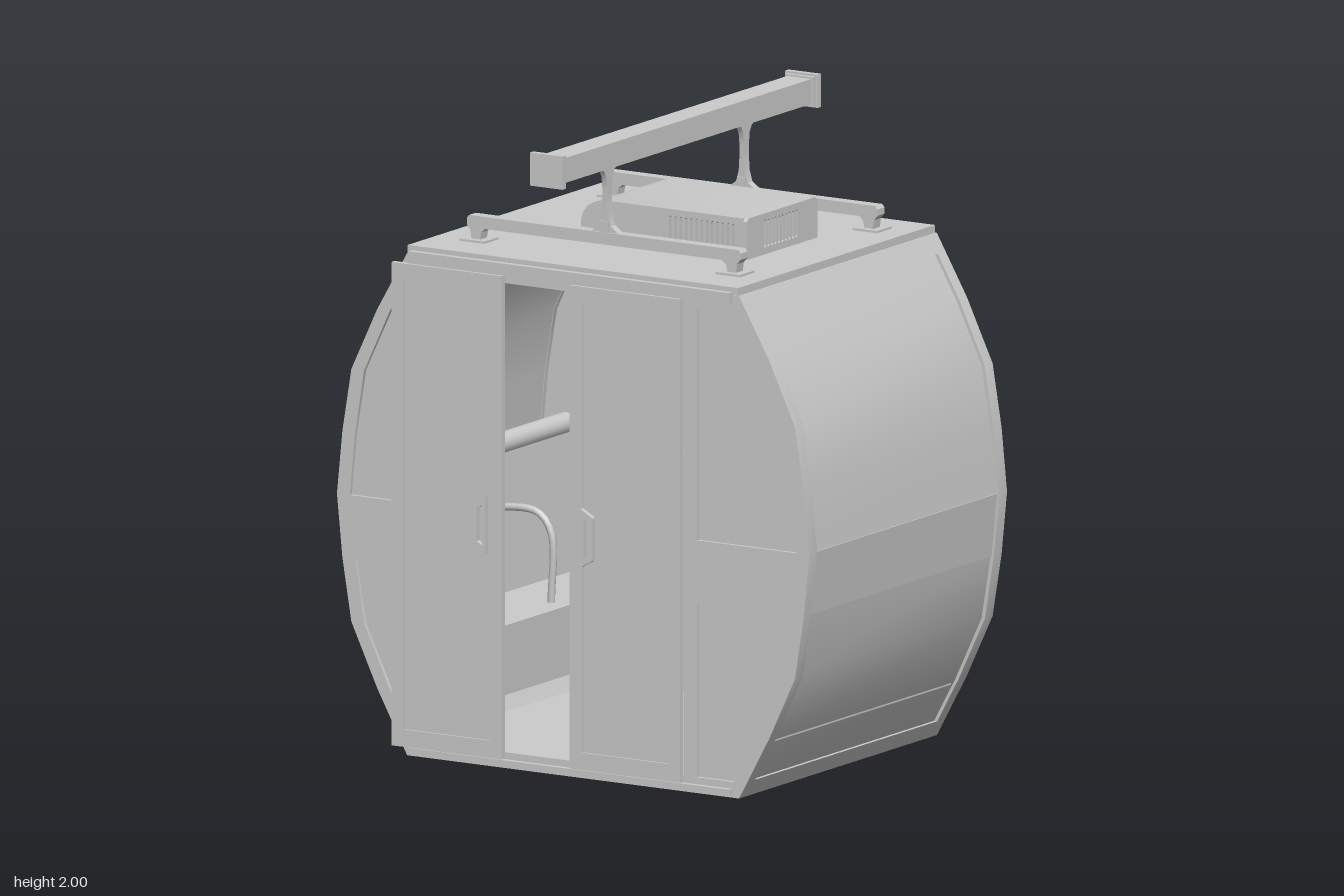
import * as THREE from 'three';
import { toCreasedNormals } from 'three/addons/utils/BufferGeometryUtils.js';

const mat = new THREE.MeshStandardMaterial({ color: 0xcccccc, side: THREE.DoubleSide });
const FRONT = 0.58, BACK = -0.56, WALL = 0.045;

// Cabin half width at height y
const KNOTS = [[0, 0.61], [0.2, 0.72], [0.4, 0.815], [0.6, 0.848], [0.8, 0.868],
  [1.0, 0.848], [1.2, 0.815], [1.4, 0.72], [1.59, 0.61]];
function halfWidth(y) {
  let i = 0;
  while (i < KNOTS.length - 2 && y > KNOTS[i + 1][0]) i++;
  const [y0, w0] = KNOTS[i], [y1, w1] = KNOTS[i + 1];
  return w0 + (w1 - w0) * (y - y0) / (y1 - y0);
}
// Points up the cabin edge between two heights, moved inward
function edge(y0, y1, inset, s) {
  const ys = [y0, ...KNOTS.map(k => k[0]).filter(y => y > y0 + 0.001 && y < y1 - 0.001), y1];
  return ys.map(y => [s * (halfWidth(y) - inset), y]);
}
const rect = (x0, y0, x1, y1) => [[x0, y0], [x1, y0], [x1, y1], [x0, y1]];
const toShape = (pts, C = THREE.Shape) => new C(pts.map(p => new THREE.Vector2(p[0], p[1])));

function add(parent, name, geo, x = 0, y = 0, z = 0) {
  const m = new THREE.Mesh(geo, mat);
  m.name = name;
  m.position.set(x, y, z);
  parent.add(m);
  return m;
}
const box = (parent, name, x0, x1, y0, y1, z0, z1) => add(parent, name,
  new THREE.BoxGeometry(x1 - x0, y1 - y0, z1 - z0), (x0 + x1) / 2, (y0 + y1) / 2, (z0 + z1) / 2);
// Outline in x/y with holes, extruded from z0 to z1
function slab(parent, name, pts, z0, z1, holes = []) {
  const shape = toShape(pts);
  shape.holes = holes.map(h => toShape(h, THREE.Path));
  const geo = new THREE.ExtrudeGeometry(shape, { depth: z1 - z0, bevelEnabled: false });
  return add(parent, name, toCreasedNormals(geo, 0.5), 0, 0, z0);
}

const PANES = [[0.05, 0.6], [0.8, 1.535]];
const sidePane = (y0, y1, s) => [[s * 0.455, y0], ...edge(y0, y1, 0.047, s), [s * 0.455, y1]];

// End wall with curved side windows and a central opening or windows
function endWall(parent, name, z0, z1, centre, paneZ) {
  const outline = [...edge(0, 1.59, 0, 1), ...edge(0, 1.59, 0, -1).reverse()];
  const panes = PANES.flatMap(([a, b]) => [sidePane(a, b, 1), sidePane(a, b, -1)]);
  slab(parent, name, outline, z0, z1, [...panes, ...centre]);
  const glass = name === 'backWall' ? [...panes, ...centre] : panes;
  glass.forEach(p => slab(parent, name + 'Window', p, paneZ - 0.008, paneZ + 0.008));
}

// Curved strip of side wall
function sideStrip(parent, name, y0, y1, inset, s) {
  slab(parent, name, [...edge(y0, y1, inset, s), ...edge(y0, y1, 0.045, s).reverse()],
    BACK + WALL, FRONT - WALL);
}

// Sliding door, inner edge at x, extending outwards in direction s
function door(parent, x, s) {
  const g = new THREE.Group();
  g.name = s > 0 ? 'leftDoor' : 'rightDoor';
  parent.add(g);
  const X = d => x + s * d;
  const glass = rect(X(0.045), 0.085, X(0.36), 1.51);
  slab(g, 'doorFrame', rect(X(0), 0.03, X(0.405), 1.56), FRONT + 0.001, 0.6, [glass]);
  slab(g, 'doorGlass', glass, 0.584, 0.592);
  slab(g, 'doorHandle', [[X(0.05), 0.675], [X(0.094), 0.7], [X(0.094), 0.835], [X(0.05), 0.86]],
    0.6, 0.616, [[[X(0.062), 0.705], [X(0.082), 0.715], [X(0.082), 0.82], [X(0.062), 0.83]]]);
}

// Bench with a rolled backrest and tubular armrest
function bench(parent, s) {
  const g = new THREE.Group();
  g.name = s > 0 ? 'leftBench' : 'rightBench';
  parent.add(g);
  slab(g, 'seat', [[s * 0.38, 0.18], [s * 0.7, 0.18], [s * 0.7, 0.4], [s * 0.38, 0.4]], -0.5, 0.52);
  slab(g, 'backrest', [[s * 0.65, 0.4], [s * 0.7, 0.4], [s * 0.74, 0.85], [s * 0.69, 0.85]], -0.5, 0.52);
  add(g, 'backrestRoll', new THREE.CylinderGeometry(0.035, 0.035, 1.02, 16),
    s * 0.715, 0.85, 0.01).rotation.x = Math.PI / 2;
  const path = new THREE.CatmullRomCurve3([[0.68, 0.68], [0.5, 0.68], [0.45, 0.62], [0.45, 0.4]]
    .map(([x, y]) => new THREE.Vector3(s * x, y, 0)));
  add(g, 'armrest', new THREE.TubeGeometry(path, 20, 0.012, 8));
}

// Suspension post, cross arm and feet
function hanger(parent, z) {
  const g = new THREE.Group();
  g.name = 'hanger';
  g.position.z = z;
  parent.add(g);
  const cx = 0.007;
  // Flared top bracket, profile across z
  const half = [[0.05, 1.912], [0.05, 1.9], [0.03, 1.89], [0.018, 1.87], [0.013, 1.83], [0.013, 1.69]];
  slab(g, 'postBracket', [...half, ...half.map(([a, b]) => [-a, b]).reverse()], -0.009, 0.009)
    .rotation.y = Math.PI / 2;
  g.children[0].position.set(cx - 0.009, 0, 0);
  // Flared foot of the post, profile across x
  const foot = [[0.009, 1.8], [0.012, 1.75], [0.022, 1.715], [0.05, 1.695], [0.06, 1.68]];
  slab(g, 'postFoot', [...foot.map(([a, b]) => [cx + a, b]),
    ...foot.map(([a, b]) => [cx - a, b]).reverse()], -0.013, 0.013);
  box(g, 'postCollar', cx - 0.015, cx + 0.015, 1.69, 1.73, -0.018, 0.018);
  // Arm bends down to a foot at each end
  const arm = [[0, 1.695], [0.495, 1.695], [0.503, 1.685], [0.503, 1.665], [0.49, 1.65],
    [0.485, 1.615], [0.455, 1.615], [0.45, 1.645], [0.435, 1.657], [0, 1.657]];
  for (const s of [-1, 1]) {
    slab(g, 'crossArm', arm.map(([a, b]) => [cx + s * a, b]), -0.02, 0.02);
    box(g, 'footPlate', cx + s * 0.47 - 0.045, cx + s * 0.47 + 0.045, 1.61, 1.622, -0.042, 0.042);
  }
}

// Row of vertical vent slots as hole outlines
const slots = (x0, x1, y0, y1, n) => Array.from({ length: n }, (_, i) => {
  const p = (x1 - x0) / n, a = x0 + p * (i + 0.2), b = x0 + p * (i + 0.8);
  return [[a, y0 + 0.006], [(a + b) / 2, y0], [b, y0 + 0.006], [b, y1 - 0.006], [(a + b) / 2, y1], [a, y1 - 0.006]];
});

// Rooftop ventilation unit, rounded at one end, vented at the other
function ventUnit(parent) {
  const g = new THREE.Group();
  g.name = 'ventUnit';
  parent.add(g);
  const prof = [[-0.21, 1.61], [-0.21, 1.675], [-0.203, 1.7], [-0.185, 1.722], [-0.16, 1.737],
    [-0.125, 1.745], [0.385, 1.745], [0.385, 1.61]];
  slab(g, 'ventBody', prof, -0.185, 0.19);
  const sideVents = slots(0.11, 0.36, 1.64, 1.725, 13);
  slab(g, 'ventFrontPanel', prof, 0.19, 0.205, sideVents);
  slab(g, 'ventBackPanel', prof, -0.2, -0.185, sideVents);
  const end = slab(g, 'ventEndPanel', [[-0.205, 1.61], [0.2, 1.61], [0.2, 1.735], [0.19, 1.745],
    [-0.195, 1.745], [-0.205, 1.735]], 0, 0.015, slots(-0.11, 0.09, 1.635, 1.725, 10));
  end.rotation.y = Math.PI / 2;
  end.position.x = 0.385;
}

export function createModel() {
  const model = new THREE.Group();
  model.name = 'gondolaCabin';

  // Cabin shell
  endWall(model, 'frontWall', FRONT - WALL, FRONT, [rect(-0.405, 0.05, 0.405, 1.535)], FRONT - 0.02);
  endWall(model, 'backWall', BACK, BACK + WALL,
    PANES.map(([a, b]) => rect(-0.405, a, 0.405, b)), BACK + 0.02);
  for (const s of [-1, 1]) {
    sideStrip(model, 'sideSill', 0, 0.055, 0, s);
    sideStrip(model, 'sideWindow', 0.055, 0.6, 0.012, s);
    sideStrip(model, 'sideBand', 0.6, 0.8, 0.008, s);
    sideStrip(model, 'sideWindow', 0.8, 1.535, 0.012, s);
    sideStrip(model, 'sideHeader', 1.535, 1.59, 0, s);
    bench(model, s);
  }
  box(model, 'floor', -0.6, 0.6, 0.001, 0.045, BACK + 0.02, FRONT - 0.02);
  box(model, 'roof', -0.61, 0.605, 1.583, 1.615, BACK + 0.003, FRONT - 0.003);

  // Doors, one slid open, with their rails
  door(model, 0, 1);
  door(model, -0.25, -1);
  box(model, 'topRail', -0.595, 0.585, 1.562, 1.6, FRONT - 0.01, 0.597);
  box(model, 'bottomRail', -0.595, 0.585, 0.012, 0.028, FRONT - 0.01, 0.597);

  // Roof equipment
  ventUnit(model);
  hanger(model, 0.395);
  hanger(model, -0.395);
  box(model, 'beam', -0.037, 0.051, 1.908, 1.987, -0.735, 0.735);
  for (const s of [-1, 1]) {
    box(model, 'beamCap', -0.053, 0.067, 1.895, 2, s * 0.735 - 0.01, s * 0.735 + 0.01);
    box(model, 'beamCollar', -0.044, 0.058, 1.902, 1.993, s * 0.72 - 0.008, s * 0.72 + 0.008);
  }
  return model;
}
